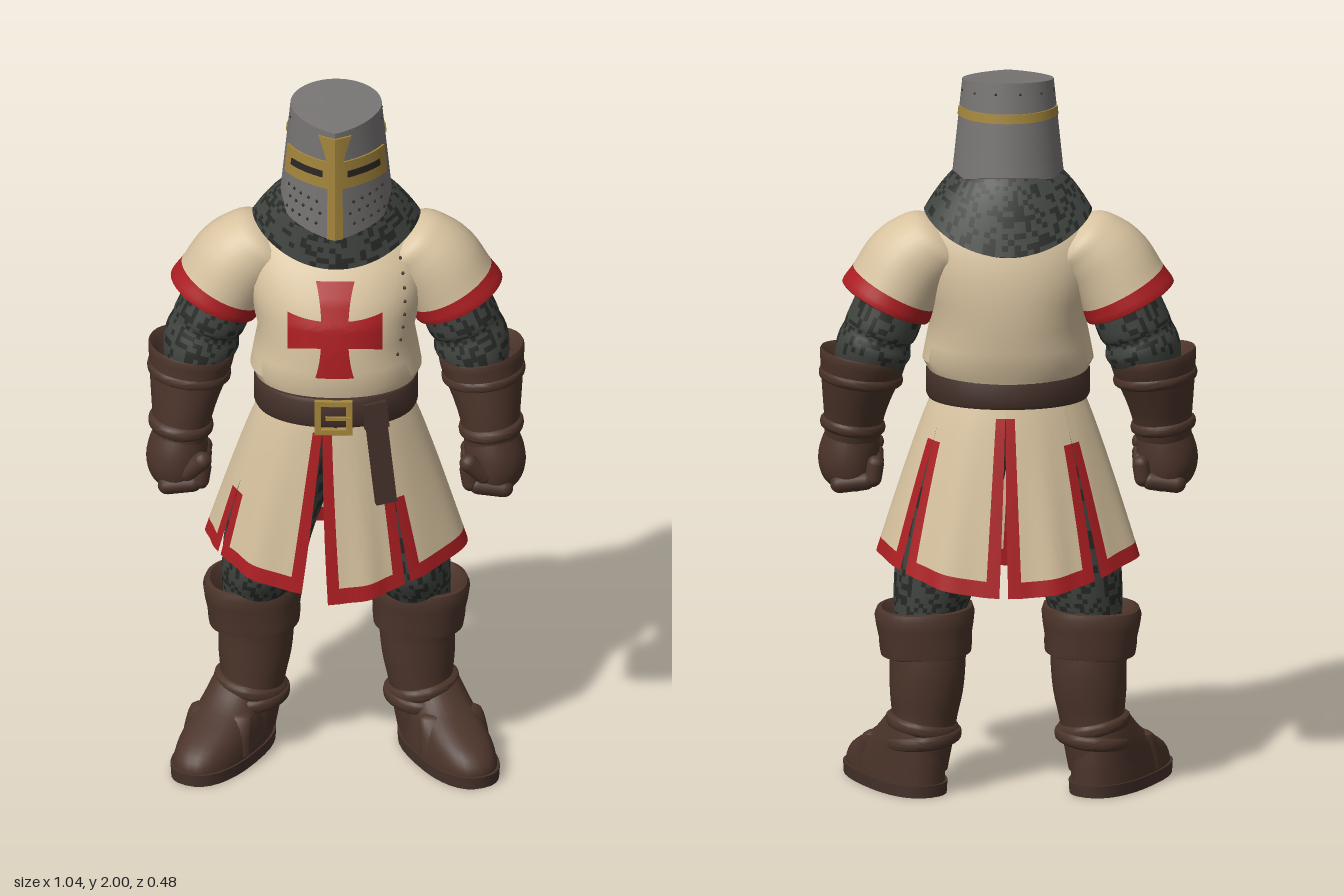
import * as THREE from 'three';
import { mergeVertices, toCreasedNormals } from 'three/addons/utils/BufferGeometryUtils.js';

const mat = (name, color) => {
  const m = new THREE.MeshStandardMaterial({ color, side: THREE.DoubleSide });
  m.name = name;
  return m;
};
const { PI, cos, sin, abs, sign, pow, max, min, floor, round } = Math;
const DEG = PI / 180;
const lerp = THREE.MathUtils.lerp, clamp = THREE.MathUtils.clamp;

export function createModel() {
  const root = new THREE.Group();
  root.name = 'knight';
  const cream = mat('cream cloth', 0xd8c3a0), red = mat('red trim', 0xac1e22);
  const mail = mat('mail', 0x40443f), mailDark = mat('mail shadow', 0x272a27);
  const steel = mat('steel', 0x777473), gold = mat('gold', 0xa4863c), dark = mat('dark holes', 0x2b2724);
  const leather = mat('leather', 0x4b342a), belt = mat('belt leather', 0x45312a);

  const add = (name, geo, m, parent = root) => {
    const mesh = new THREE.Mesh(geo, m);
    mesh.name = name;
    parent.add(mesh);
    return mesh;
  };

  // Grid surface f(u, v); paint picks a material per cell, s = -1 mirrors in x
  function sheet(name, f, nu, nv, mats, { paint = () => 0, s = 1, parent = root } = {}) {
    const pos = [], cells = mats.map(() => []);
    for (let j = 0; j <= nv; j++) for (let i = 0; i <= nu; i++) {
      const p = f(i / nu, j / nv);
      pos.push(s * p[0], p[1], p[2]);
    }
    for (let j = 0; j < nv; j++) for (let i = 0; i < nu; i++) {
      const a = j * (nu + 1) + i, b = a + 1, c = a + nu + 1, d = c + 1;
      cells[paint(i, j)].push(...(s > 0 ? [a, b, c, b, d, c] : [a, c, b, b, c, d]));
    }
    let geo = new THREE.BufferGeometry();
    geo.setAttribute('position', new THREE.Float32BufferAttribute(pos, 3));
    geo.setIndex(cells.flat());
    let start = 0;
    if (mats.length > 1) cells.forEach((c, k) => { geo.addGroup(start, c.length, k); start += c.length; });
    geo = toCreasedNormals(mergeVertices(geo, 1e-5), 0.6);
    return add(name, geo, mats.length > 1 ? mats : mats[0], parent);
  }

  // Smooth interpolation of ring parameters
  const at = (K, t) => {
    const i = min(floor(t + 1e-6), K.length - 2), f = t - i;
    return K[i].map((b, j) => {
      const a = K[max(i - 1, 0)][j], c = K[i + 1][j], d = K[min(i + 2, K.length - 1)][j];
      return b + 0.5 * f * (c - a + f * (2 * a - 5 * b + 4 * c - d + f * (3 * (b - c) + d - a)));
    });
  };
  const sup = (c, p) => sign(c) * pow(abs(c), 2 / p);
  // Lofted body: rings [x, y, z, radiusX, radiusZ, tilt], listed from top to bottom
  function tube(name, rings, mats, { sub = 3, nu = 32, p = 2, ...opt } = {}) {
    const K = rings.map(r => [...r, 0].slice(0, 6)), n = K.length - 1;
    return sheet(name, (u, v) => {
      const [x, y, z, ru, rv, tilt] = at(K, v * n), a = u * 2 * PI;
      const c = max(ru, 0) * sup(cos(a), p), w = max(rv, 0) * sup(sin(a), p);
      return [x + c * cos(tilt), y + c * sin(tilt), z + w];
    }, nu, n * sub, mats, opt);
  }
  // Speckled mail weave
  const weave = (i, j) => {
    const h = sin(i * 127.1 + j * 311.7) * 43758.5453;
    return h - floor(h) < 0.38 ? 1 : 0;
  };
  const mailMats = [mail, mailDark];

  // Tunic body
  const torso = [
    [0, 1.65, -.03, .09, .08], [0, 1.605, -.04, .21, .1], [0, 1.57, -.035, .245, .12], [0, 1.52, -.024, .255, .15],
    [0, 1.45, -.008, .25, .18], [0, 1.38, .005, .23, .195], [0, 1.31, .012, .213, .197], [0, 1.25, .018, .225, .195],
    [0, 1.2, .023, .234, .192], [0, 1.17, .025, .218, .18], [0, 1.12, .03, .2, .172], [0, 1.08, .03, .195, .17]];
  tube('tunicBody', torso, [cream], { sub: 1, nu: 64, p: 2.15 });
  const front = (x, y) => {
    const i = clamp(torso.findIndex(r => r[1] <= y), 1, torso.length - 1), a = torso[i - 1], b = torso[i];
    const t = (a[1] - y) / (a[1] - b[1]), [, , z, rx, rz] = a.map((q, k) => lerp(q, b[k], t));
    return z + rz * pow(max(0, 1 - pow(abs(x / rx), 2.15)), 1 / 2.15);
  };
  // Chest cross with flared ends
  const flare = k => .037 + .016 * pow(abs(2 * k - 1), 2.5);
  const onChest = (x, y) => [x, y, front(x, y) + .007];
  sheet('chestCrossUpright', (u, v) => onChest((2 * u - 1) * flare(v), lerp(1.5, 1.24, v)), 6, 20, [red]);
  sheet('chestCrossArms', (u, v) => onChest(lerp(-.13, .13, u), 1.365 - (2 * v - 1) * flare(u)), 20, 10, [red]);
  // Stitches beside the chest
  for (let k = 0; k < 8; k++) {
    const y = 1.28 + k * .037, x = .17 + .02 * sin(k * .4);
    add('stitch', new THREE.SphereGeometry(.005, 8, 6), leather).position.set(x, y, front(x, y));
  }

  // Mail collar
  sheet('mailCollar', (u, v) => {
    const a = u * 2 * PI, t = min(v / .94, 1), k = pow(t, .75), under = v > .95 ? .02 : 0;
    const hem = 1.63 - .1 * pow(abs(sin(a)), 1.6);
    return [(lerp(.11, .23, k) - under) * cos(a), lerp(1.75, hem, pow(t, 1.25)) - under * .3,
      lerp(.01, -.031, k) + (lerp(.1, .164, k) - under) * sin(a)];
  }, 80, 18, mailMats, { paint: weave });

  // Great helm
  const helm = (a, y, v, off = 0) => {
    const c = cos(a), s = sin(a), place = w => s > 0
      ? .02 + (.16 + off) * (.65 * s + .35 * (1 - abs(c))) : .02 + (lerp(.12, .155, w) + off) * s;
    const z0 = place(.5), top = 1.985 - .1 * z0, low = 1.7 - .33 * z0;
    const w = v ?? (top - y) / (top - low);
    return [(lerp(.125, .155, w) + off) * c, lerp(top, low, w), place(w)];
  };
  sheet('helm', (u, v) => {
    const r = round(v * 8), a = u * 2 * PI;
    return r === 0 ? [0, 1.983, .03] : helm(a, 0, r === 8 ? 1 : (r - 1) / 6, r === 8 ? -.035 : 0);
  }, 56, 8, [steel]);
  // Plate wrapped on the helm between two angles, with thin side walls
  const plate = (name, a0, a1, y0, y1, off, m, nu, nv, wide = () => 1) =>
    sheet(name, (u, v) => {
      const U = clamp((u * nu - 1) / (nu - 2), 0, 1), V = clamp((v * nv - 1) / (nv - 2), 0, 1);
      const edge = u < .001 || u > .999 || v < .001 || v > .999, mid = (a0 + a1) / 2;
      return helm((mid + (U - .5) * (a1 - a0) * wide(V)) * DEG, lerp(y1, y0, V), undefined, edge ? off - .009 : off);
    }, nu, nv, [m]);
  plate('helmCrossUpright', 82, 98, 1.645, 1.952, .007, gold, 10, 14, v => 1 + 1.5 * pow(max(0, 1 - v * 3.2), 1.5));
  plate('helmCrossArms', 20, 160, 1.797, 1.878, .006, gold, 38, 4);
  plate('helmBackBand', 188, 352, 1.887, 1.912, .004, gold, 32, 4);
  for (const m of [0, 1]) {
    const ang = t => (m ? 180 - t : t);
    plate('eyeSlit', min(ang(34), ang(76)), max(ang(34), ang(76)), 1.83, 1.849, .009, dark, 14, 4);
    // Breathing holes and rivets
    for (let r = 0; r < 3; r++) for (let k = 0; k < 5; k++) {
      const t = 30 + k * 10 + (r % 2) * 4;
      add('breathingHole', new THREE.SphereGeometry(.0045, 8, 6), dark)
        .position.set(...helm(ang(t) * DEG, 1.765 - r * .033 - k * .004));
    }
    for (let k = 0; k < 4; k++)
      add('helmRivet', new THREE.SphereGeometry(.0035, 8, 6), dark)
        .position.set(...helm(ang(-75 + k * 30) * DEG, 1.965 - k * .004));
  }

  // Belt, buckle and hanging strap
  tube('belt', [[0, 1.175, .035, .19, .16], [0, 1.175, .035, .219, .183], [0, 1.165, .035, .224, .188],
    [0, 1.1, .035, .224, .188], [0, 1.09, .035, .219, .183], [0, 1.09, .035, .18, .15]], [belt], { sub: 1, nu: 56, p: 2.15 });
  const frame = new THREE.Shape().moveTo(-.05, -.05).lineTo(.05, -.05).lineTo(.05, .05).lineTo(-.05, .05);
  frame.holes.push(new THREE.Path().moveTo(-.036, -.036).lineTo(-.036, .036).lineTo(.036, .036).lineTo(.036, -.036));
  add('buckle', new THREE.ExtrudeGeometry(frame, { depth: .008, bevelSize: .002, bevelThickness: .002, bevelSegments: 2 }), gold)
    .position.set(-.003, 1.122, .217);
  add('buckleTongue', new THREE.BoxGeometry(.07, .01, .01), gold).position.set(.01, 1.122, .226);
  const strap = new THREE.Group();
  strap.name = 'beltStrap';
  add('strapHang', new THREE.BoxGeometry(.058, .25, .02), belt, strap).position.y = -.125;
  add('strapLoop', new THREE.BoxGeometry(.066, .075, .026), belt, strap).position.y = .01;
  strap.position.set(.112, 1.115, .208);
  strap.rotation.set(-.1, .3, .12);
  root.add(strap);

  // Slit skirt: six panels with red borders
  const slits = [55, 99, 156, 225, 272, 326, 415], gaps = [1.5, 6, 1.5, 2, 2, 2, 1.5];
  const tops = [.45, .04, .5, .2, .06, .2, .45], n = 18, rows = 12;
  for (let k = 0; k < 6; k++) {
    const e = .034 / (.29 * (slits[k + 1] - slits[k]) * DEG);
    sheet('skirtPanel', (u, v) => {
      const U = u < 1.01 / n ? u * n * e : u > 1 - 1.01 / n ? 1 - (1 - u) * n * e : e + (u - 1 / n) / (1 - 2 / n) * (1 - 2 * e);
      const g = q => gaps[q] * max(0, (v - tops[q]) / (1 - tops[q]));
      const a = lerp(slits[k] + g(k), slits[k + 1] - g(k + 1), U) * DEG;
      const fold = 1 + v * .045 * (sin(U * PI) - .5 + .35 * cos(U * PI * 4)), t = pow(v, .85);
      const hem = .655 - .075 * sin(a) * sin(a) - (k === 0 ? .025 * U : 0);
      return [lerp(.2, .35, t) * fold * cos(a), lerp(1.11, hem, v), lerp(.03, -.003, t) + lerp(.172, .237, t) * fold * sin(a)];
    }, n, rows, [cream, red], {
      paint: (i, j) => (j === rows - 1 || (i === 0 && j / rows > tops[k]) || (i === n - 1 && j / rows > tops[k + 1]) ? 1 : 0)
    });
  }

  // Arms and legs, mirrored
  for (const s of [1, -1]) {
    const o = { s };
    // Sleeve with red hem
    tube('sleeve', [[.12, 1.55, -.035, 0, 0, .9], [.165, 1.54, -.035, .104, .102, .85], [.222, 1.52, -.035, .12, .12, .7],
      [.272, 1.475, -.035, .126, .13, .58], [.312, 1.41, -.037, .127, .137, .5], [.335, 1.37, -.038, .131, .14, .45],
      [.333, 1.373, -.038, .105, .112, .45]],
    [cream, red], { ...o, sub: 4, nu: 36, paint: (i, j) => (j >= 16 ? 1 : 0) });
    tube('mailArm', [[.29, 1.47, -.04, .09, .09, .45], [.322, 1.36, -.04, .098, .1, .4], [.346, 1.3, -.04, .1, .105, .35],
      [.357, 1.28, -.04, .096, .098, .35], [.366, 1.245, -.04, .104, .106, .3], [.38, 1.2, -.03, .095, .1, .2], [.39, 1.13, -.02, .07, .08]],
    mailMats, { ...o, nu: 48, paint: weave });
    // Gauntlet
    tube('gauntletCuff', [[.397, 1.19, -.022, .09, .095, .15], [.396, 1.218, -.022, .11, .117, .15], [.396, 1.216, -.022, .119, .124, .15],
      [.4, 1.17, -.016, .112, .117, .1], [.412, 1.09, .005, .094, .105], [.42, 1.03, .02, .082, .094], [.425, .97, .03, .076, .085]],
    [leather], { ...o, sub: 2 });
    for (const [x, y, z, a, b] of [[.424, 1.01, .025, .088, .1], [.402, 1.155, -.014, .114, .119]])
      tube('gauntletRoll', [[x, y + .02, z, a - .012, b - .012, .1], [x, y + .01, z, a, b, .1], [x, y - .01, z, a, b, .1],
        [x, y - .02, z, a - .014, b - .014, .1]], [leather], o);
    tube('fist', [[.425, 1, .03, .07, .08], [.432, .95, .034, .082, .092], [.436, .9, .035, .082, .095],
      [.432, .855, .035, .07, .085], [.425, .83, .035, .04, .06], [.42, .825, .035, 0, 0]], [leather], o);
    const digit = (name, r, len, x, y, z, rx, rz) => {
      const d = add(name, new THREE.CapsuleGeometry(r, len, 5, 12), leather);
      d.position.set(s * x, y, z);
      d.rotation.set(rx, 0, s * rz);
    };
    for (let k = 0; k < 4; k++) {
      const z = .035 + (k - 1.5) * .046;
      digit('fingerKnuckle', .026, .07, .425, .853 + .006 * (k === 1 || k === 2 ? -1 : 1), z, 0, 1.45);
      digit('fingerTip', .024, .04, .366, .89, z, 0, .15);
    }
    digit('thumb', .026, .06, .385, .915, .112, .3, .75);

    // Mail leg
    tube('mailLeg', [[.1, 1.05, .02, .1, .12], [.12, .95, .01, .125, .14], [.155, .8, .005, .13, .145], [.185, .67, 0, .12, .142],
      [.2, .57, -.002, .112, .137], [.212, .5, -.015, .1, .115], [.218, .42, -.03, .09, .1]],
    mailMats, { ...o, sub: 5, nu: 52, paint: weave });
    // Boot
    tube('bootCuff', [[.222, .47, -.033, .09, .1, -.04], [.226, .515, -.033, .12, .12, -.04], [.228, .495, -.033, .137, .133, -.04],
      [.226, .43, -.034, .127, .127, -.04], [.224, .385, -.034, .124, .125, -.04], [.224, .38, -.036, .1, .1, -.04]], [leather], { ...o, sub: 2, p: 2.3 });
    tube('bootShaft', [[.222, .45, -.045, .108, .105], [.22, .36, -.058, .104, .103], [.223, .28, -.058, .1, .101],
      [.228, .21, -.055, .09, .097], [.238, .14, -.055, .088, .098], [.25, .06, -.055, .085, .095]], [leather], o);
    for (const [y, r, t] of [[.185, .1, .16], [.15, .106, -.1]])
      tube('ankleStrap', [[.234, y + .022, -.053, r - .016, r - .008, t], [.234, y + .012, -.053, r, r + .005, t],
        [.234, y - .012, -.053, r, r + .005, t], [.234, y - .022, -.053, r - .016, r - .008, t]], [leather], o);
    // Foot, turned outwards
    const foot = new THREE.Group();
    foot.name = 'foot';
    foot.position.set(s * .257, 0, -.06);
    foot.rotation.y = s * .48;
    root.add(foot);
    const level = (y, w, b, t) => [0, y, (t - b) / 2, w, (t + b) / 2];
    tube('footUpper', [level(.21, .07, .085, .08), level(.16, .083, .095, .14), level(.12, .09, .098, .22), level(.085, .094, .1, .285),
      level(.05, .097, .1, .315), level(.02, .097, .1, .318)], [leather], { parent: foot, p: 2.3 });
    tube('sole', [level(.034, .085, .09, .3), level(.034, .102, .106, .326), level(0, .1, .104, .324), level(0, 0, 0, .2)],
      [belt], { parent: foot, sub: 1, p: 2.4 });
    tube('instepStrap', [[0, .15, .12, .06, .02], [0, .14, .12, .092, .04], [0, .09, .14, .1, .055], [0, .04, .15, .103, .05]],
      [leather], { parent: foot });
  }
  return root;
}
